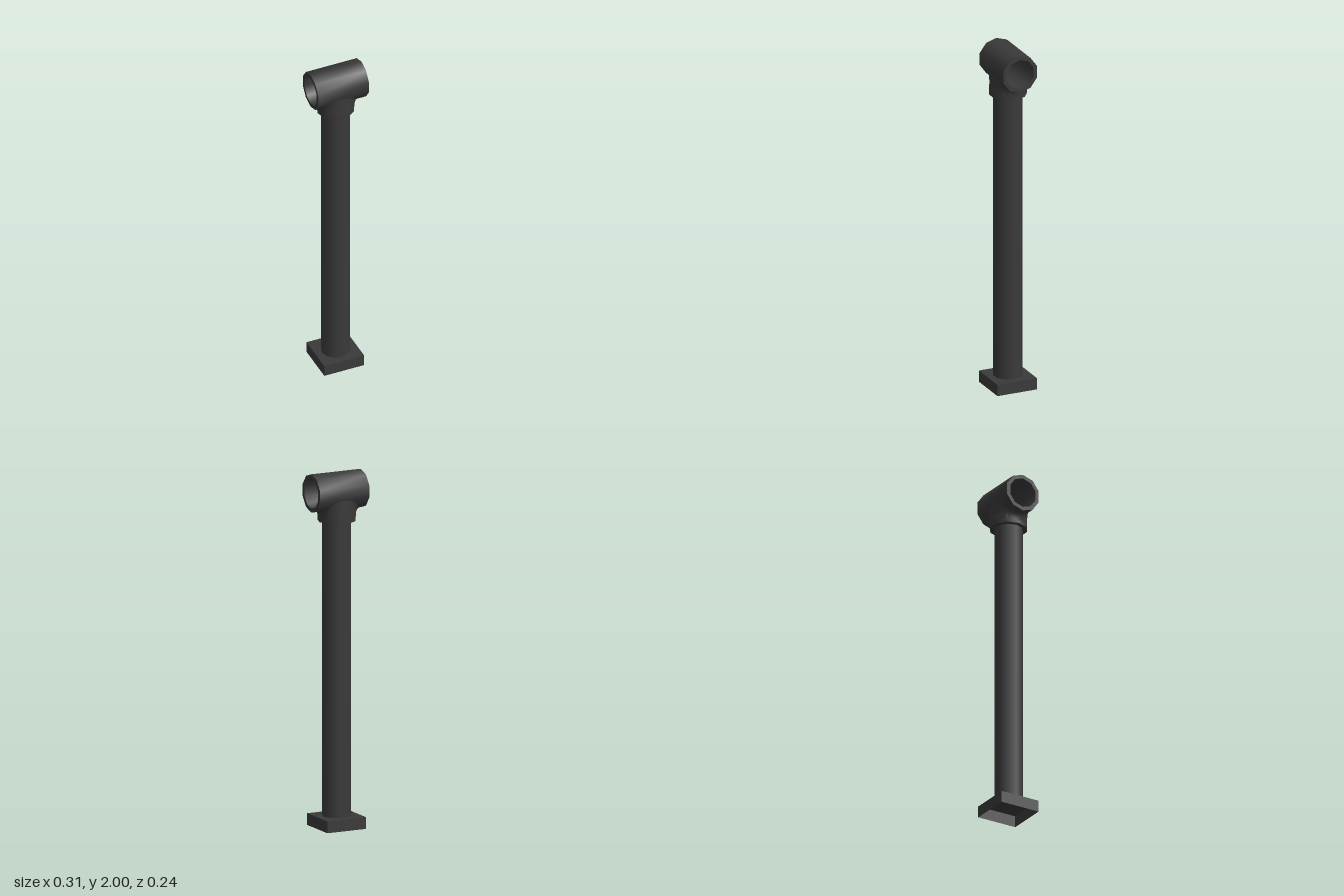
import * as THREE from 'three';
import { toCreasedNormals } from 'three/addons/utils/BufferGeometryUtils.js';

const SIDES = 10;
const CX = -0.005;                       // post axis
const TEE_Y = 1.892, TEE_R = 0.108, BORE_R = 0.086, TEE_HALF = 0.153;
const COLLAR_R = 0.106, COLLAR_BOTTOM = 1.725, COLLAR_TOP = 1.745;

// Closed ring-shaped tube turned from a rectangular profile
function ringTube(inner, outer, y0, y1) {
  const profile = [[inner, y0], [outer, y0], [outer, y1], [inner, y1], [inner, y0]]
    .map(([x, y]) => new THREE.Vector2(x, y));
  return toCreasedNormals(new THREE.LatheGeometry(profile, SIDES, Math.PI / 2), 0.8);
}

// Fillet that sweeps from the round collar up onto the underside of the cross tube
function filletGeometry() {
  const around = 40, steps = 6, pos = [], idx = [];
  for (let j = 0; j <= steps; j++) {
    const t = j / steps;
    for (let i = 0; i <= around; i++) {
      const a = (i / around) * Math.PI * 2;
      const c = Math.cos(a), s = Math.sin(a);
      const z = 0.101 * s;
      const endY = TEE_Y - Math.sqrt(0.104 ** 2 - z * z);
      const x = c * (COLLAR_R + 0.034 * t * t);
      const y = COLLAR_TOP + (endY - COLLAR_TOP) * (1 - (1 - t) ** 2);
      pos.push(x, y, z);
    }
  }
  const n = around + 1;
  for (let j = 0; j < steps; j++) {
    for (let i = 0; i < around; i++) {
      const a = j * n + i, b = a + 1, d = a + n, e = d + 1;
      idx.push(a, d, b, b, d, e);
    }
  }
  const g = new THREE.BufferGeometry();
  g.setAttribute('position', new THREE.Float32BufferAttribute(pos, 3));
  g.setIndex(idx);
  g.computeVertexNormals();
  return g;
}

export function createModel() {
  const group = new THREE.Group();
  const mat = new THREE.MeshStandardMaterial({ color: 0x3a3a3a });
  const thin = new THREE.MeshStandardMaterial({ color: 0x3a3a3a, side: THREE.DoubleSide });
  const add = (name, geometry, material, x, y, z) => {
    const mesh = new THREE.Mesh(geometry, material);
    mesh.name = name;
    mesh.position.set(x, y, z);
    group.add(mesh);
  };

  // Square foot, a shell open underneath (bottom face left out)
  const foot = new THREE.BoxGeometry(0.24, 0.066, 0.24);
  const index = Array.from(foot.index.array);
  index.splice(18, 6);
  foot.setIndex(index);
  foot.clearGroups();
  add('foot', foot, thin, CX, 0.033, -0.001);

  // Upright post
  const post = new THREE.CylinderGeometry(0.081, 0.081, 1.73, SIDES, 1, false, Math.PI / 2);
  add('post', post, mat, CX, 0.06 + 0.865, 0);

  // Collar that grips the post, with the fillet above it
  add('collar', ringTube(0.07, COLLAR_R, COLLAR_BOTTOM, COLLAR_TOP + 0.035), mat, CX, 0, -0.001);
  add('collarFillet', filletGeometry(), thin, CX, 0, -0.001);

  // Horizontal cross tube with an open bore
  const tee = ringTube(BORE_R, TEE_R, -TEE_HALF, TEE_HALF).rotateZ(-Math.PI / 2);
  add('crossTube', tee, mat, -0.001, TEE_Y, -0.001);

  return group;
}
